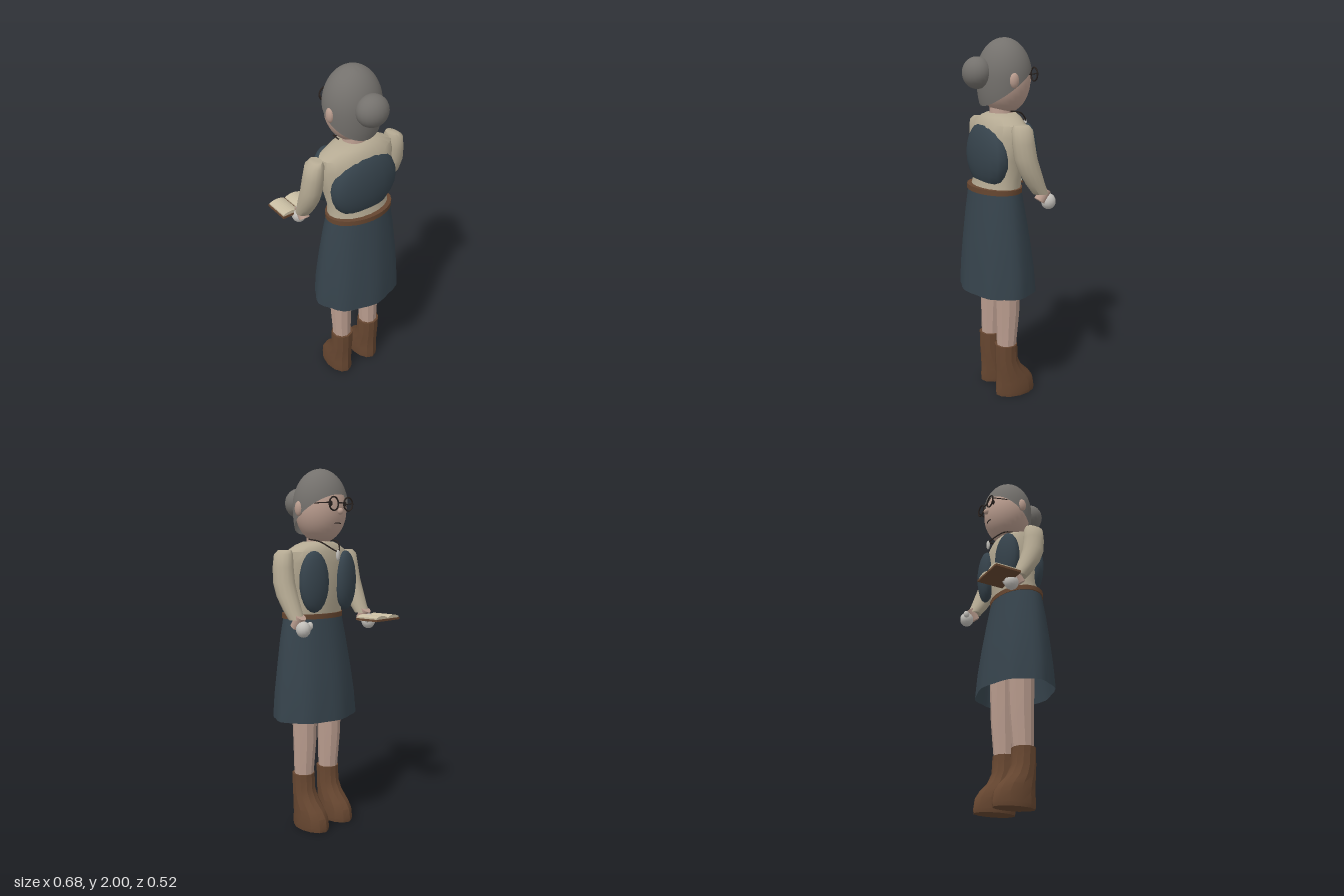
import * as THREE from 'three';
import { mergeVertices, toCreasedNormals } from 'three/addons/utils/BufferGeometryUtils.js';

const material = (color, side = THREE.FrontSide) => new THREE.MeshStandardMaterial({ color, side });
const HAIR = material(0x74716d, THREE.DoubleSide), SKIN = material(0xb99c8e), BLOUSE = material(0xb5aa93);
const VEST = material(0x36434c), SKIRT = material(0x36434c, THREE.DoubleSide), LEATHER = material(0x664630);
const GLOVE = material(0xc2bfba), PAPER = material(0xc8bda2), DARK = material(0x2a2320);
const CENTRE = 0.0175;

function add(parent, name, geometry, mat, x = 0, y = 0, z = 0) {
  const mesh = new THREE.Mesh(geometry, mat);
  mesh.name = name;
  mesh.position.set(x, y, z);
  parent.add(mesh);
  return mesh;
}

function crease(geometry, angle) {
  geometry.deleteAttribute('uv');
  geometry.deleteAttribute('normal');
  return toCreasedNormals(mergeVertices(geometry, 1e-5), angle);
}

// Stacked elliptical rings, top first: [y, x, z, rx, rz]
function loft(rings, sides, { open = false, angle = 0.8, ripple = () => 1 } = {}) {
  const g = new THREE.CylinderGeometry(1, 1, 1, sides, rings.length - 1, open);
  const p = g.attributes.position;
  for (let i = 0; i < p.count; i++) {
    const row = Math.round((0.5 - p.getY(i)) * (rings.length - 1));
    const [y, x, z, rx, rz] = rings[row];
    const k = ripple(Math.atan2(p.getX(i), p.getZ(i)), row);
    p.setXYZ(i, x + p.getX(i) * rx * k, y, z + p.getZ(i) * rz * k);
  }
  return crease(g, angle);
}

function ellipsoid(rx, ry, rz, w = 20, h = 14) {
  return new THREE.SphereGeometry(1, w, h).scale(rx, ry, rz);
}

// Dome whose lower edge slopes from the forehead down to the nape
function hairCap() {
  const g = new THREE.SphereGeometry(1, 36, 16, 0, Math.PI * 2, 0, Math.PI / 2);
  const p = g.attributes.position;
  for (let i = 0; i < p.count; i++) {
    const a = Math.atan2(p.getX(i), p.getZ(i));
    const t = Math.acos(Math.min(1, p.getY(i))) / (Math.PI / 2);
    const phi = t * Math.acos((-0.045 - 0.105 * Math.cos(a)) / 0.2);
    const s = Math.sin(phi);
    const r = phi > Math.PI / 2 ? s * 0.35 + 0.65 : s;
    p.setXYZ(i, Math.sin(a) * r * 0.155, Math.cos(phi) * 0.2, Math.cos(a) * r * 0.146);
  }
  return crease(g, 1.2);
}

function buildHead() {
  const head = new THREE.Group();
  head.name = 'head';
  add(head, 'face', ellipsoid(0.145, 0.175, 0.136, 28, 20), SKIN, 0, 1.78, 0.01);
  add(head, 'neck', new THREE.CylinderGeometry(0.06, 0.07, 0.1, 16), SKIN, 0, 1.61, 0.03);
  add(head, 'hair', hairCap(), HAIR, 0, 1.8, 0.013);
  add(head, 'hairBun', ellipsoid(0.087, 0.083, 0.076), HAIR, 0, 1.822, 0.172);
  add(head, 'nose', ellipsoid(0.016, 0.018, 0.016, 12, 8), SKIN, 0, 1.772, -0.133);
  const mouth = new THREE.QuadraticBezierCurve3(new THREE.Vector3(-0.025, 1.708, -0.112),
    new THREE.Vector3(0, 1.716, -0.119), new THREE.Vector3(0.025, 1.708, -0.112));
  add(head, 'mouth', new THREE.TubeGeometry(mouth, 8, 0.003, 5), DARK);
  for (const s of [-1, 1]) {
    add(head, 'ear', ellipsoid(0.018, 0.04, 0.026, 12, 8), SKIN, s * 0.149, 1.786, 0.03);
    add(head, 'eye', ellipsoid(0.011, 0.015, 0.008, 12, 8), DARK, s * 0.056, 1.812, -0.115);
    add(head, 'glassesRim', new THREE.TorusGeometry(0.035, 0.0045, 6, 24), DARK, s * 0.057, 1.81, -0.138);
    const temple = new THREE.LineCurve3(new THREE.Vector3(s * 0.092, 1.815, -0.136), new THREE.Vector3(s * 0.152, 1.81, 0.02));
    add(head, 'glassesTemple', new THREE.TubeGeometry(temple, 1, 0.003, 5), DARK);
  }
  const bridge = add(head, 'glassesBridge', new THREE.CylinderGeometry(0.004, 0.004, 0.045, 6), DARK, 0, 1.815, -0.139);
  bridge.rotation.z = Math.PI / 2;
  return head;
}

function buildBody() {
  const body = new THREE.Group();
  body.name = 'body';
  add(body, 'blouse', loft([
    [1.612, 0, 0.03, 0.095, 0.075], [1.595, 0, 0.035, 0.145, 0.095], [1.56, 0, 0.04, 0.215, 0.112],
    [1.5, 0, 0.045, 0.225, 0.122], [1.38, 0, 0.05, 0.205, 0.125], [1.27, 0, 0.055, 0.178, 0.115], [1.19, 0, 0.07, 0.188, 0.122],
  ], 20), BLOUSE);
  add(body, 'vestBack', ellipsoid(0.208, 0.188, 0.08, 16, 12), VEST, 0, 1.388, 0.115);
  for (const s of [-1, 1]) {
    const panel = add(body, 'vestFront', ellipsoid(0.088, 0.165, 0.05, 16, 12), VEST, s * 0.126, 1.4, -0.06);
    panel.rotation.y = -s * 0.25;
  }
  add(body, 'belt', loft([[1.224, 0, 0.073, 0.2, 0.136], [1.197, 0, 0.073, 0.2, 0.136]], 24), LEATHER);
  add(body, 'skirt', loft([
    [1.2, 0, 0.072, 0.193, 0.132], [1.08, 0, 0.069, 0.216, 0.15], [0.92, 0, 0.064, 0.238, 0.172],
    [0.77, 0, 0.06, 0.256, 0.189], [0.637, 0, 0.058, 0.264, 0.198],
  ], 32, { open: true, angle: 1.2, ripple: (a, row) => 1 + 0.007 * row * Math.cos(a * 8) }), SKIRT);

  // Cord around the neck with a small drop pendant
  const cord = new THREE.CatmullRomCurve3([[-0.085, 1.625, 0.02], [-0.07, 1.612, -0.05], [0, 1.56, -0.115],
    [0.07, 1.612, -0.05], [0.085, 1.625, 0.02]].map(v => new THREE.Vector3(...v)));
  add(body, 'necklaceCord', new THREE.TubeGeometry(cord, 30, 0.004, 5), DARK);
  add(body, 'pendant', ellipsoid(0.013, 0.03, 0.01, 10, 8), GLOVE, 0, 1.54, -0.117);
  return body;
}

function buildArm(s) {
  const arm = new THREE.Group();
  arm.name = s > 0 ? 'leftArm' : 'rightArm';
  add(arm, 'sleeve', loft([
    [1.57, s * 0.245, 0.04, 0.028, 0.042], [1.548, s * 0.255, 0.04, 0.046, 0.056], [1.48, s * 0.262, 0.036, 0.052, 0.06],
    [1.4, s * 0.267, 0.025, 0.056, 0.061], [1.33, s * 0.268, 0.0, 0.055, 0.06],
    [1.26, s * 0.266, -0.035, 0.05, 0.05], [1.21, s * 0.265, -0.066, 0.042, 0.042],
  ], 14, { angle: 1 }), BLOUSE);
  const wrist = add(arm, 'wrist', new THREE.CylinderGeometry(0.03, 0.03, 0.07, 12), SKIN, s * 0.265, 1.2, -0.078);
  wrist.rotation.x = -0.6;
  add(arm, 'hand', ellipsoid(0.038, 0.043, 0.04, 14, 10), GLOVE, s * 0.265, 1.163, -0.114);
  add(arm, 'thumb', ellipsoid(0.014, 0.022, 0.018, 10, 8), GLOVE, s * 0.233, 1.18, -0.132);
  return arm;
}

function buildLeg(s) {
  const leg = new THREE.Group();
  leg.name = s > 0 ? 'leftLeg' : 'rightLeg';
  const x = s * 0.1;
  add(leg, 'shin', loft([[0.78, x, 0.042, 0.072, 0.078], [0.5, x, 0.042, 0.063, 0.067], [0.29, x, 0.05, 0.054, 0.055]],
    10, { angle: 0.2 }), SKIN);
  add(leg, 'boot', loft([
    [0.312, x, 0.053, 0.066, 0.064], [0.22, x, 0.05, 0.066, 0.066], [0.165, x, 0.035, 0.069, 0.078],
    [0.115, x, 0.01, 0.072, 0.103], [0.075, x, -0.003, 0.074, 0.116], [0.02, x, -0.006, 0.074, 0.122], [0, x, -0.005, 0.071, 0.118],
  ], 12, { angle: 0.4 }), LEATHER);
  return leg;
}

function buildBook() {
  const book = new THREE.Group();
  book.name = 'openBook';
  for (const s of [-1, 1]) {
    add(book, 'cover', new THREE.BoxGeometry(0.1, 0.012, 0.152), LEATHER, s * 0.052, 0.006, 0);
    // Page block with a rounded top
    const page = new THREE.Shape();
    page.moveTo(0, 0).lineTo(s * 0.094, 0).lineTo(s * 0.094, 0.01);
    page.quadraticCurveTo(s * 0.04, 0.032, 0, 0.008);
    const g = new THREE.ExtrudeGeometry(page, { depth: 0.142, bevelEnabled: false, curveSegments: 8 });
    add(book, 'pages', g, PAPER, s * 0.004, 0.01, -0.071);
  }
  add(book, 'spine', new THREE.BoxGeometry(0.012, 0.01, 0.152), LEATHER, 0, 0.005, 0);
  add(book, 'ribbon', new THREE.BoxGeometry(0.01, 0.004, 0.03), GLOVE, 0, 0.022, 0.06);
  book.position.set(-0.26, 1.176, -0.187);
  return book;
}

export function createModel() {
  const model = new THREE.Group();
  model.name = 'standingWoman';
  model.add(buildHead(), buildBody());
  for (const s of [-1, 1]) model.add(buildArm(s), buildLeg(s));
  model.children.forEach(part => { part.position.x += CENTRE; });
  model.add(buildBook());
  model.children[model.children.length - 1].position.x = -0.243;
  return model;
}
